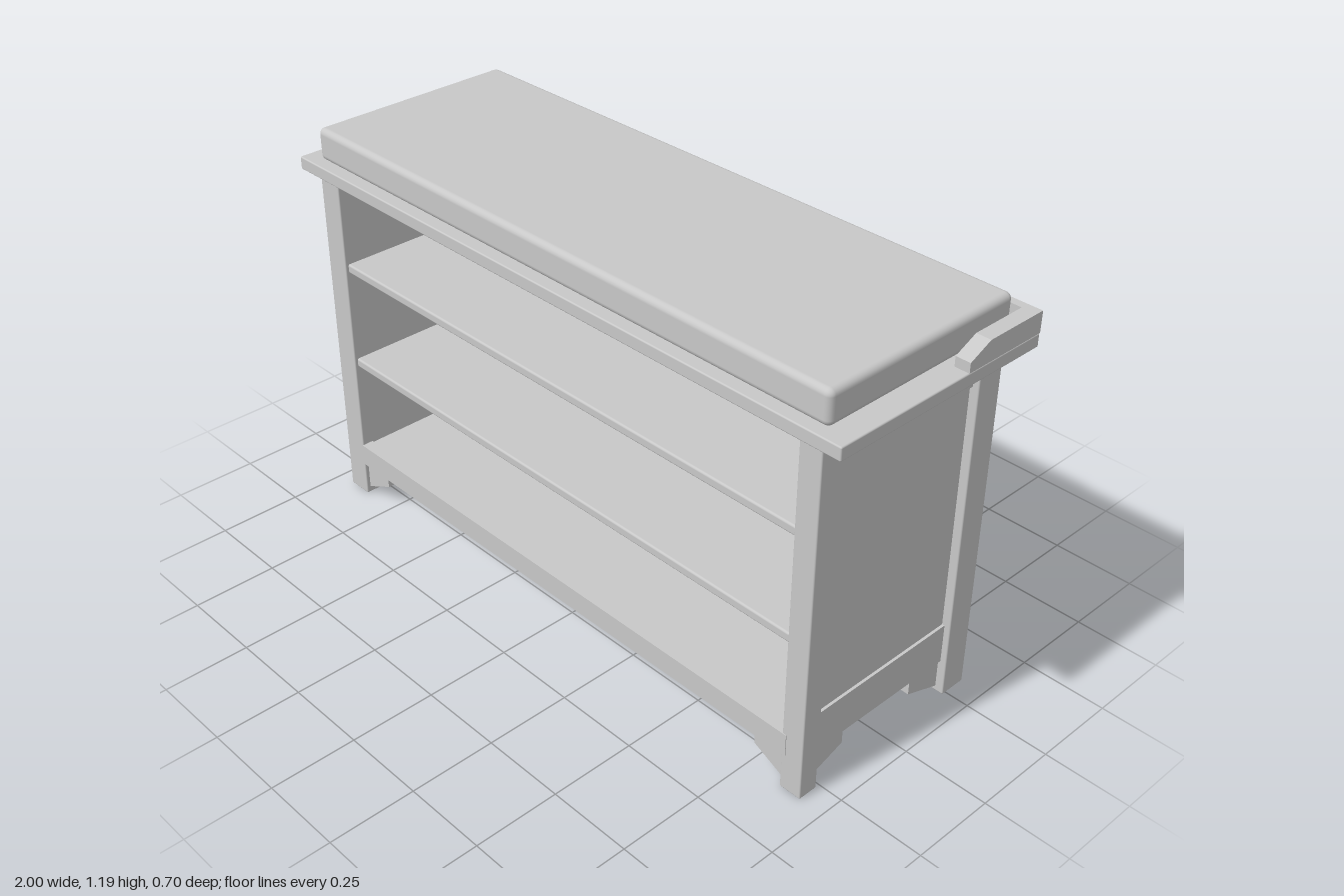
import * as THREE from 'three';
import { RoundedBoxGeometry } from 'three/addons/geometries/RoundedBoxGeometry.js';

export function createModel() {
  const model = new THREE.Group();
  model.name = 'changingTable';
  const paint = new THREE.MeshStandardMaterial({ color: 0xc8c8c8 });
  paint.name = 'lightGrey';

  function add(name, geometry) {
    const mesh = new THREE.Mesh(geometry, paint);
    mesh.name = name;
    model.add(mesh);
  }

  // Box from its limits on each axis, optionally with softened edges
  function box(name, [x0, x1], [y0, y1], [z0, z1], radius = 0) {
    const size = [x1 - x0, y1 - y0, z1 - z0];
    const geometry = radius
      ? new RoundedBoxGeometry(...size, 3, radius)
      : new THREE.BoxGeometry(...size);
    geometry.translate((x0 + x1) / 2, (y0 + y1) / 2, (z0 + z1) / 2);
    add(name, geometry);
  }

  // Flat outline in (along, up), extruded by depth
  function plate(points, depth) {
    const shape = new THREE.Shape(points.map(([a, b]) => new THREE.Vector2(a, b)));
    return new THREE.ExtrudeGeometry(shape, { depth, bevelEnabled: false });
  }

  // Top board and cushion
  box('topBoard', [-1, 1], [1.057, 1.095], [-0.35, 0.35], 0.004);
  box('cushion', [-0.945, 0.937], [1.095, 1.191], [-0.32, 0.32], 0.018);

  // Guard rails round the back of the top
  box('backGuard', [-1, 1], [1.095, 1.155], [-0.35, -0.326]);
  const guard = [[0.085, 1.095], [0.35, 1.095], [0.35, 1.155], [0.155, 1.155], [0.085, 1.123]];
  for (const x of [-1, 0.957]) {
    const geometry = plate(guard, 0.043);
    geometry.rotateY(Math.PI / 2);
    geometry.translate(x, 0, 0);
    add('sideGuard', geometry);
  }

  // Legs, side panels and foot brackets for both ends
  const ends = [
    { sign: -1, inner: -0.865, backInner: -0.862, outer: -0.945 },
    { sign: 1, inner: 0.86, backInner: 0.838, outer: 0.928 },
  ];
  const span = (a, b) => [Math.min(a, b), Math.max(a, b)];
  for (const { sign, inner, backInner, outer } of ends) {
    box('frontLeg', span(inner, outer), [0, 1.057], [0.263, 0.324], 0.004);
    box('backLeg', span(backInner, outer), [0, 1.057], [-0.32, -0.236], 0.004);

    const frameX = span(inner, outer - sign * 0.018);
    box('sidePanel', span(inner, outer - sign * 0.026), [0.225, 0.955], [-0.24, 0.268]);
    box('sideTopRail', frameX, [0.955, 1.057], [-0.24, 0.268]);
    box('sideBottomRail', frameX, [0.105, 0.225], [-0.24, 0.268]);

    // Brackets running along the side, from each leg inward
    const bracketX = span(outer - sign * 0.025, outer - sign * 0.075)[0];
    for (const [legZ, tipZ] of [[0.265, 0.143], [-0.238, -0.118]]) {
      const outline = [[-legZ, 0.015], [-tipZ, 0.057], [-tipZ, 0.108], [-legZ, 0.108]];
      const geometry = plate(outline, 0.05);
      geometry.rotateY(Math.PI / 2);
      geometry.translate(bracketX, 0, 0);
      add('sideFootBracket', geometry);
    }

    // Bracket running along the front
    const tip = inner - sign * 0.1;
    const geometry = plate([[inner, 0.02], [tip, 0.068], [tip, 0.112], [inner, 0.112]], 0.05);
    geometry.translate(0, 0, 0.262);
    add('frontFootBracket', geometry);
  }

  // Shelves and floor
  const inside = [-0.866, 0.862];
  for (const y of [0.453, 0.766]) {
    box('shelf', inside, [y, y + 0.028], [-0.235, 0.316], 0.006);
  }
  box('floor', inside, [0.108, 0.172], [-0.24, 0.31]);

  // Front and back rails
  box('frontBottomRail', [-0.866, 0.874], [0.11, 0.177], [0.29, 0.326]);
  box('frontTopRail', inside, [1.026, 1.057], [0.28, 0.316], 0.006);
  box('backBottomRail', inside, [0.108, 0.172], [-0.262, -0.23], 0.006);

  // Back made of two boards with a narrow groove over a thin backing
  box('backBacking', inside, [0.15, 1.057], [-0.235, -0.225]);
  box('lowerBackBoard', inside, [0.15, 0.622], [-0.241, -0.233]);
  box('upperBackBoard', inside, [0.63, 1.057], [-0.241, -0.233]);

  return model;
}
